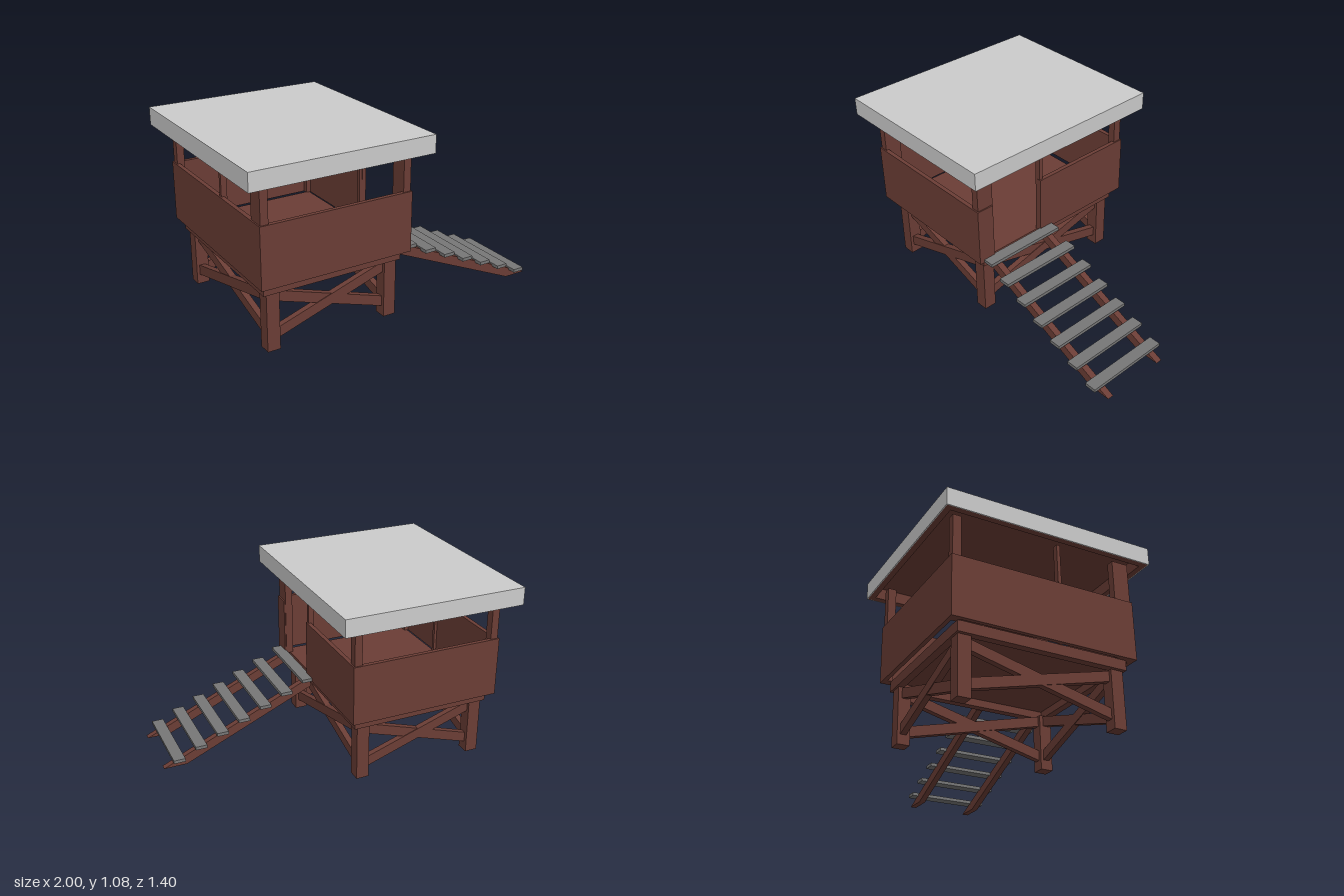
import * as THREE from 'three';

const grey = new THREE.MeshStandardMaterial({ color: 0xcccccc, flatShading: true });
const wood = new THREE.MeshStandardMaterial({ color: 0x6b3d35, flatShading: true });
const slate = new THREE.MeshStandardMaterial({ color: 0x777777, flatShading: true });

// Box given by its min and max on each axis
function block(parent, name, [x0, x1], [y0, y1], [z0, z1], material = wood) {
  const mesh = new THREE.Mesh(new THREE.BoxGeometry(x1 - x0, y1 - y0, z1 - z0), material);
  mesh.position.set((x0 + x1) / 2, (y0 + y1) / 2, (z0 + z1) / 2);
  mesh.name = name;
  parent.add(mesh);
  return mesh;
}

// Four boards laid as a rectangular ring with outer half sizes a, b
function ring(parent, name, a, b, y, width, material = wood) {
  for (const s of [-1, 1]) {
    const span = (outer) => [Math.min(s * outer, s * (outer - width)), Math.max(s * outer, s * (outer - width))];
    block(parent, name, span(a), y, [-b, b], material);
    block(parent, name, [-a + width, a - width], y, span(b), material);
  }
}

function group(parent, name) {
  const g = new THREE.Group();
  g.name = name;
  parent.add(g);
  return g;
}

// Legs with a crossed pair of braces on each side
function buildBase(parent) {
  const base = group(parent, 'base');
  const lx = 0.366, lz = 0.46, half = 0.038;
  for (const sx of [-1, 1]) for (const sz of [-1, 1]) {
    block(base, 'leg', [sx * lx - half, sx * lx + half], [0, 0.34], [sz * lz - half, sz * lz + half]);
  }
  const low = 0.09, high = 0.305, depth = 0.062, thick = 0.036;
  const addBraces = (length, place) => {
    for (const dir of [-1, 1]) {
      const shape = new THREE.Shape([
        [-length / 2, (dir > 0 ? low : high) - depth / 2], [length / 2, (dir > 0 ? high : low) - depth / 2],
        [length / 2, (dir > 0 ? high : low) + depth / 2], [-length / 2, (dir > 0 ? low : high) + depth / 2],
      ].map(([x, y]) => new THREE.Vector2(x, y)));
      const geo = new THREE.ExtrudeGeometry(shape, { depth: thick, bevelEnabled: false });
      geo.translate(0, 0, -thick / 2 + dir * 0.002);
      const brace = new THREE.Mesh(geo, wood);
      brace.name = 'crossBrace';
      place(brace);
      base.add(brace);
    }
  };
  for (const s of [-1, 1]) {
    addBraces(2 * (lx - half), (m) => { m.position.z = s * lz; });
    addBraces(2 * (lz - half), (m) => { m.position.x = s * lx; m.rotation.y = Math.PI / 2; });
  }
}

// Floor, parapet walls and the posts carrying the roof
function buildCabin(parent) {
  const cabin = group(parent, 'cabin');
  const a = 0.4585, b = 0.56, t = 0.025, wallY = [0.4, 0.755], postY = [0.4, 1.0];
  ring(cabin, 'floorBeam', 0.425, 0.51, [0.34, 0.4], 0.045);
  block(cabin, 'floor', [-0.425, 0.425], [0.385, 0.402], [-0.51, 0.51]);

  block(cabin, 'frontWall', [-a, a], wallY, [b - t, b]);
  block(cabin, 'backWall', [-a, a], wallY, [-b, -b + t]);
  block(cabin, 'rightWall', [-a, -a + t], wallY, [-b + t, b - t]);
  block(cabin, 'leftWall', [a - t, a], wallY, [-b + t, 0.104]);
  block(cabin, 'doorJambWall', [a - t, a], wallY, [0.455, b - t]);

  const inset = 0.008, px = 0.045;
  for (const s of [-1, 1]) {
    const outer = s * (a - inset), inner = s * (a - inset - px);
    const xs = [Math.min(outer, inner), Math.max(outer, inner)];
    block(cabin, 'frontPost', xs, postY, [0.45, b - inset]);
    block(cabin, 'backPost', xs, postY, [-b + inset, -b + inset + 0.05]);
    const mid = s * (a - 0.025);
    block(cabin, 'middlePost', [mid - 0.017, mid + 0.017], postY, [0.081, 0.102]);
  }
}

// Grey cover over a wooden frame, hollow underneath
function buildRoof(parent) {
  const roof = group(parent, 'roof');
  const a = 0.547, b = 0.634;
  block(roof, 'roofTop', [-a, a], [1.06, 1.08], [-b, b], grey);
  ring(roof, 'fascia', a, b, [0.975, 1.06], 0.006, grey);
  ring(roof, 'roofFrame', a - 0.006, b - 0.006, [0.975, 1.06], 0.035);
  block(roof, 'ceiling', [-a + 0.03, a - 0.03], [1.045, 1.06], [-b + 0.03, b - 0.03]);
}

// Sloped stringers with evenly spaced treads
function buildStairs(parent) {
  const stairs = group(parent, 'stairs');
  const profile = new THREE.Shape([[1.25, 0], [1.39, 0], [0.45, 0.411], [0.45, 0.35]]
    .map(([x, y]) => new THREE.Vector2(x, y)));
  for (const z of [0.078, 0.462]) {
    const geo = new THREE.ExtrudeGeometry(profile, { depth: 0.038, bevelEnabled: false });
    const stringer = new THREE.Mesh(geo, wood);
    stringer.position.z = z - 0.019;
    stringer.name = 'stringer';
    stairs.add(stringer);
  }
  for (let i = 0; i < 7; i++) {
    const x = 1.302 - 0.136 * i, y = 0.053 + 0.0595 * i;
    block(stairs, 'tread', [x - 0.035, x + 0.035], [y - 0.01, y + 0.01], [0.02, 0.53], slate);
  }
}

export function createModel() {
  const model = new THREE.Group();
  model.name = 'watchHut';
  const hut = group(model, 'hut');
  buildBase(hut);
  buildCabin(hut);
  buildRoof(hut);
  buildStairs(hut);
  // The whole hut stands slightly turned on its plot
  hut.rotation.y = -0.1303;
  hut.position.set(-0.376, 0, -0.003);
  return model;
}
